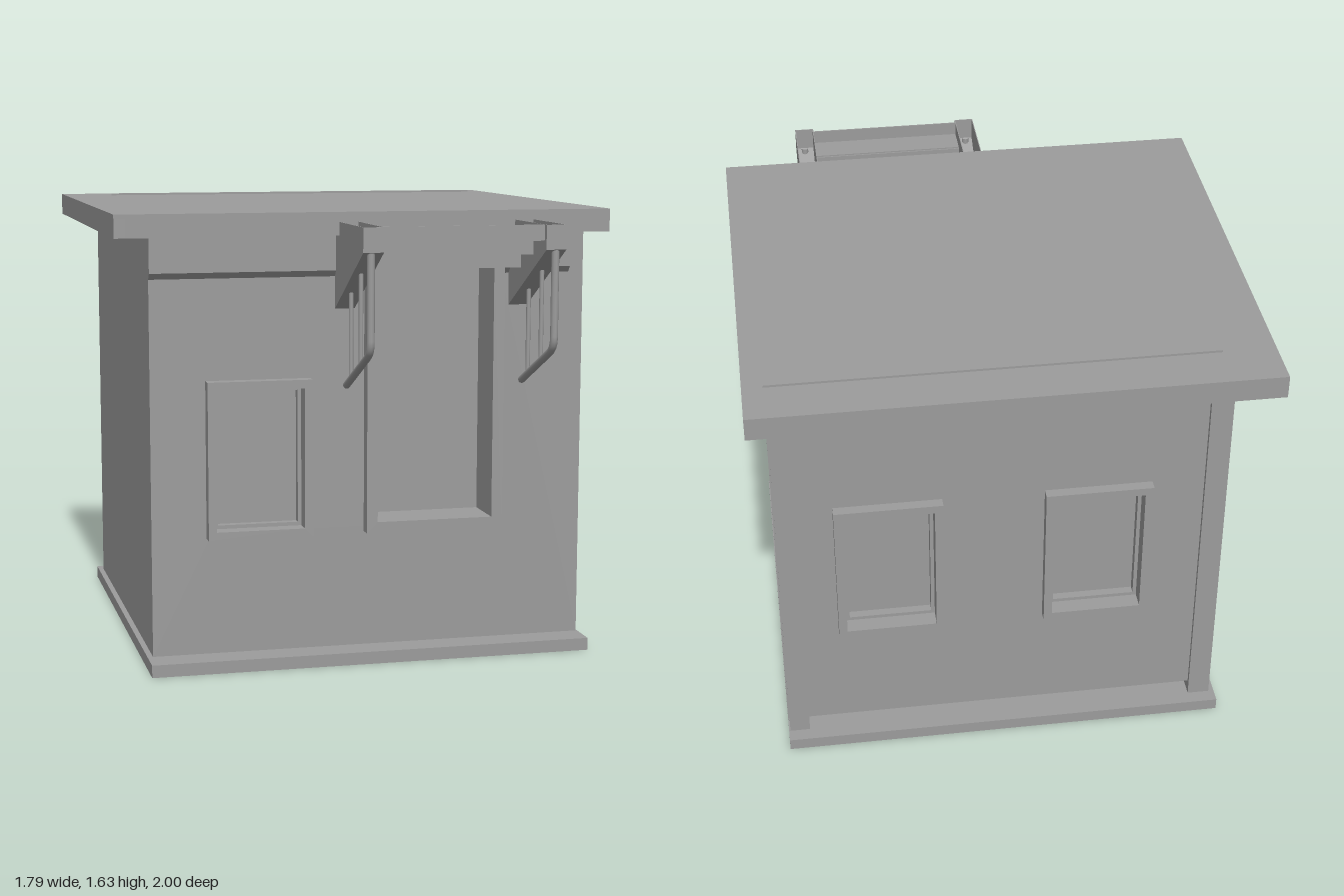
import * as THREE from 'three';

const material = new THREE.MeshStandardMaterial({ color: 0x9c9c9c });

export function createModel() {
  const model = new THREE.Group();

  const add = (name, geometry) => {
    const mesh = new THREE.Mesh(geometry, material);
    mesh.name = name;
    model.add(mesh);
    return mesh;
  };

  // Box given by its limits on each axis
  const box = (name, x0, x1, y0, y1, z0, z1) =>
    add(name, new THREE.BoxGeometry(x1 - x0, y1 - y0, z1 - z0)
      .translate((x0 + x1) / 2, (y0 + y1) / 2, (z0 + z1) / 2));

  // Upright slab with rectangular openings; rectangles are [x0, x1, y0, y1]
  const corners = ([x0, x1, y0, y1]) =>
    [[x0, y0], [x1, y0], [x1, y1], [x0, y1]].map(p => new THREE.Vector2(...p));
  const slab = (name, rect, holes, z0, z1) => {
    const shape = new THREE.Shape(corners(rect));
    holes.forEach(h => shape.holes.push(new THREE.Path(corners(h).reverse())));
    return add(name, new THREE.ExtrudeGeometry(shape, { depth: z1 - z0, bevelEnabled: false })
      .translate(0, 0, z0));
  };

  // Profile of [z, y] points extruded along x
  const profile = (name, points, x0, x1) => {
    const shape = new THREE.Shape(points.map(p => new THREE.Vector2(...p)));
    return add(name, new THREE.ExtrudeGeometry(shape, { depth: x1 - x0, bevelEnabled: false })
      .rotateY(-Math.PI / 2).translate(x1, 0, 0));
  };

  const inset = ([x0, x1, y0, y1], d) => [x0 + d, x1 - d, y0 + d, y1 - d];

  // Base
  box('base', -0.79, 0.828, 0, 0.045, -0.87, 0.71);

  // Roof: a thin deck with a downturned rim
  box('roofDeck', -0.896, 0.898, 1.605, 1.62, -1, 0.665);
  for (const [x0, x1] of [[-0.896, -0.856], [0.858, 0.898]]) {
    box('roofSideRim', x0, x1, 1.538, 1.605, -1, 0.665);
  }
  for (const [z0, z1] of [[-1, -0.96], [0.625, 0.665]]) {
    box('roofEndRim', -0.856, 0.858, 1.538, 1.605, z0, z1);
  }

  // Side walls; their rear ends stand slightly proud as corner posts
  box('rightWall', -0.77, -0.69, 0.045, 1.605, -0.82, 0.58);
  box('leftWall', 0.75, 0.823, 0.045, 1.605, -0.82, 0.58);

  // Front and back walls with openings
  const frontWindow = [-0.573, -0.195, 0.465, 1.03];
  const doorway = [0.003, 0.511, 0.465, 1.5];
  const backWindows = [[0.24, 0.622, 0.505, 1.075], [-0.503, -0.121, 0.505, 1.075]];
  slab('frontWall', [-0.77, 0.823, 0.045, 1.605],
    [inset(frontWindow, 0.02), inset(doorway, 0.02)], 0.54, 0.598);
  slab('backWall', [-0.71, 0.828, 0.095, 1.605],
    backWindows.map(w => inset(w, 0.02)), -0.805, -0.785);

  // Beam above the back windows, with a thin flashing that shows above the roof
  box('backBeam', -0.71, 0.828, 1.44, 1.605, -0.825, -0.8);
  box('backFlashing', -0.71, 0.828, 1.6, 1.628, -0.829, -0.826);

  // Windows: outer frame, inner sash and recessed pane; side is +1 front, -1 back
  const window = (name, rect, face, side) => {
    const span = (a, b) => [face - side * a, face - side * b].sort((p, q) => p - q);
    slab(name + 'Frame', rect, [inset(rect, 0.03)], ...span(0, 0.12));
    slab(name + 'Sash', inset(rect, 0.03), [inset(rect, 0.043)], ...span(0.06, 0.1));
    slab(name + 'Pane', inset(rect, 0.03), [], ...span(0.09, 0.11));
  };
  window('frontWindow', frontWindow, 0.645, 1);
  backWindows.forEach((w, i) => window('backWindow' + (i + 1), w, -0.843, -1));

  // Deep service opening
  slab('doorwayFrame', doorway, [inset(doorway, 0.04)], 0.46, 0.645);
  slab('doorwayPanel', doorway, [], 0.44, 0.465);

  // Fascia under the eaves, chamfered below and broken by the service opening
  for (const [x0, x1] of [[-0.77, 0.01], [0.505, 0.767]]) {
    profile('fascia', [[0.58, 1.39], [0.598, 1.39], [0.618, 1.412], [0.618, 1.605], [0.58, 1.605]], x0, x1);
  }

  // Canopy side brackets: open-topped sheet troughs with a sloping floor
  const cheek = [[0.6, 1.275], [1, 1.5], [1, 1.585], [0.6, 1.585]];
  const floor = [[0.6, 1.275], [1, 1.5], [1, 1.505], [0.6, 1.28]];
  for (const [x0, x1] of [[-0.105, -0.033], [0.54, 0.612]]) {
    profile('bracketCheek', cheek, x0, x0 + 0.003);
    profile('bracketCheek', cheek, x1 - 0.003, x1);
    profile('bracketFloor', floor, x0, x1);
    box('bracketEnd', x0, x1, 1.5, 1.585, 0.997, 1);
  }

  // Canopy sheet stepping down toward the wall behind a front lip
  [[0.865, 0.98], [0.735, 0.865], [0.6, 0.735]].forEach(([z0, z1], i) => {
    const top = 1.585 - i * 0.055;
    box('canopyRiser', -0.033, 0.54, top - 0.055, top, z1 - 0.005, z1);
    box('canopyTread', -0.033, 0.54, top - 0.055, top - 0.05, z0, z1 - 0.005);
  });

  // Bent rails hanging under the brackets, each with two uprights
  for (const x of [-0.074, 0.578]) {
    const v = (y, z) => new THREE.Vector3(x, y, z);
    const path = new THREE.CurvePath();
    path.add(new THREE.LineCurve3(v(1.51, 0.984), v(1.2, 0.984)));
    path.add(new THREE.QuadraticBezierCurve3(v(1.2, 0.984), v(1.16, 0.984), v(1.142, 0.945)));
    path.add(new THREE.LineCurve3(v(1.142, 0.945), v(1.008, 0.65)));
    add('rail', new THREE.TubeGeometry(path, 48, 0.0135, 10));
    // Cap on the free end
    add('railEnd', new THREE.SphereGeometry(0.0135, 10, 8).translate(x, 1.008, 0.65));
    for (const [z, y0, y1] of [[0.85, 1.1, 1.43], [0.713, 1.035, 1.35]]) {
      add('railUpright', new THREE.CylinderGeometry(0.008, 0.008, y1 - y0, 10)
        .translate(x, (y0 + y1) / 2, z));
    }
  }

  return model;
}
